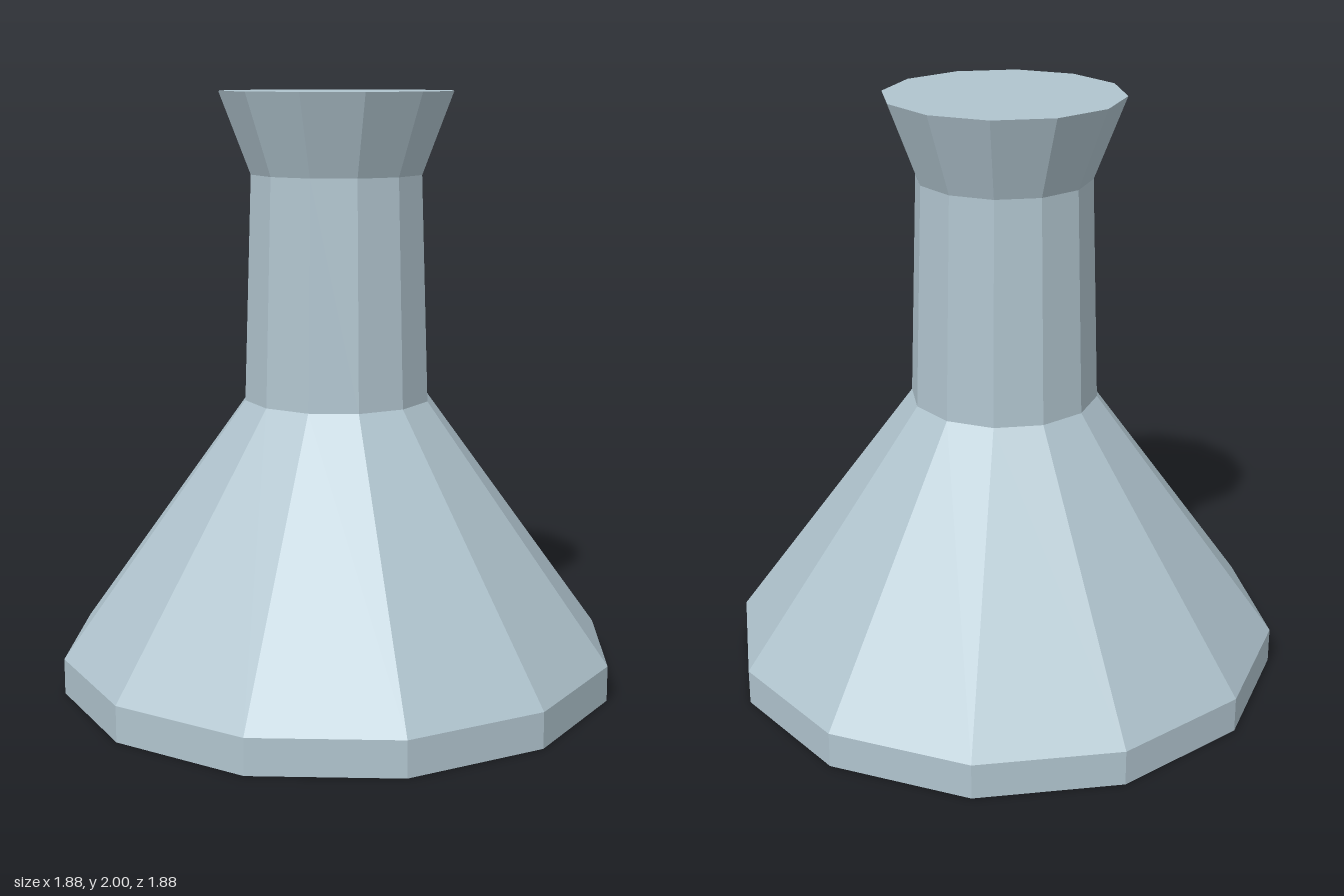
import * as THREE from 'three';

const SIDES = 12;

export function createModel() {
  const model = new THREE.Group();
  model.name = 'flaredPedestal';

  const paleSteel = new THREE.MeshStandardMaterial({ color: 0xb0c4ce });
  paleSteel.name = 'paleSteel';
  paleSteel.flatShading = true;

  // Stacked rings of the faceted body, each [radius, height], closed at both ends
  const rings = [
    [0, 0],
    [0.94, 0], [0.94, 0.12],  // base rim
    [0.315, 0.98],            // sloping skirt
    [0.29, 1.73],             // tapered neck
    [0.394, 2],               // flared head
    [0, 2],
  ];
  const profile = rings.map(([r, y]) => new THREE.Vector2(r, y));
  const body = new THREE.Mesh(new THREE.LatheGeometry(profile, SIDES), paleSteel);
  body.name = 'body';
  model.add(body);

  return model;
}
